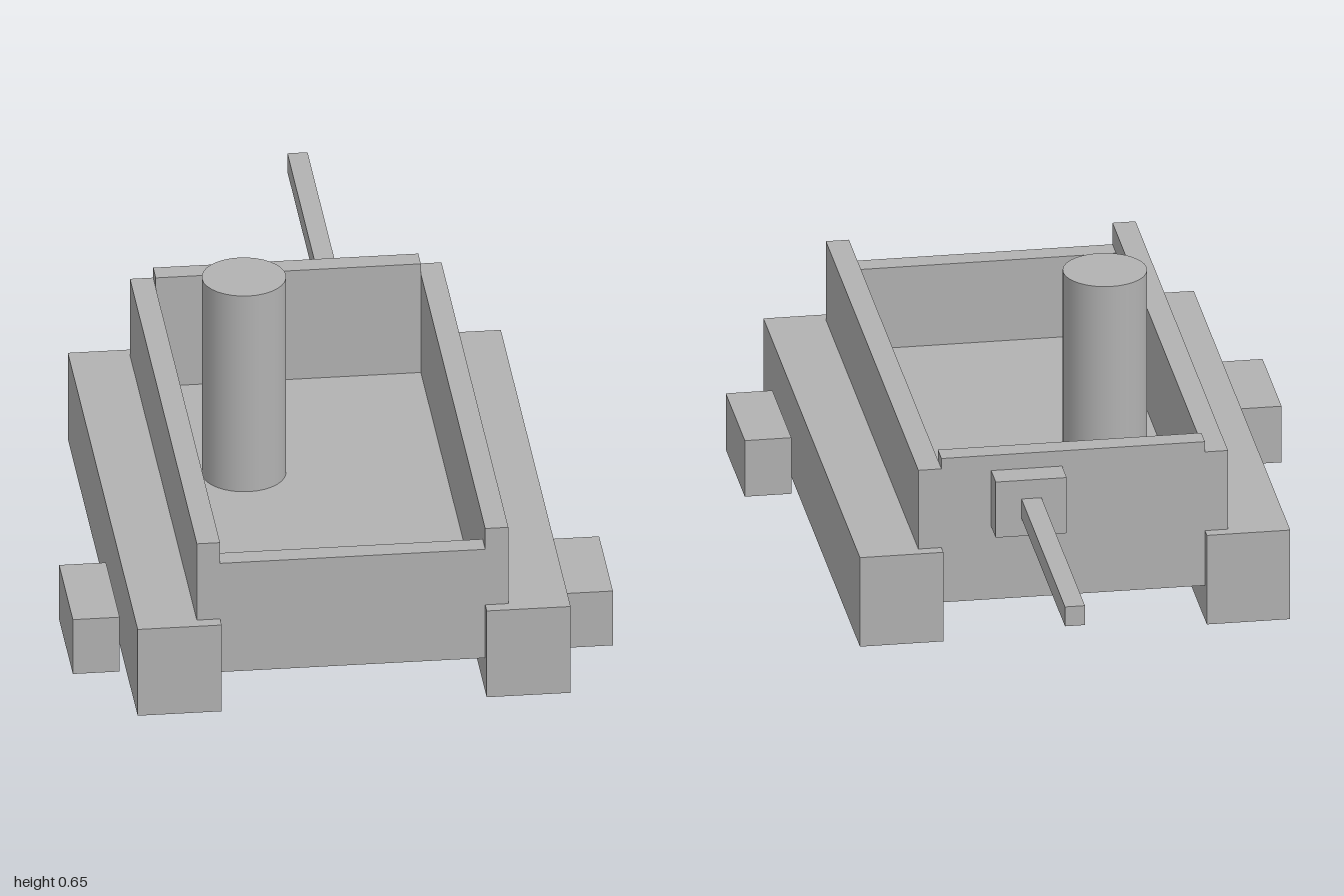
import * as THREE from 'three';

export function createModel() {
  const model = new THREE.Group();
  const grey = new THREE.MeshStandardMaterial({ color: 0xb2b2b2 });
  grey.name = 'plain grey';

  // Box given by its [min, max] extents on each axis
  function box(name, [x0, x1], [y0, y1], [z0, z1]) {
    const mesh = new THREE.Mesh(new THREE.BoxGeometry(x1 - x0, y1 - y0, z1 - z0), grey);
    mesh.position.set((x0 + x1) / 2, (y0 + y1) / 2, (z0 + z1) / 2);
    mesh.name = name;
    model.add(mesh);
  }

  // The same box on both sides
  function pair(name, [x0, x1], y, z) {
    box('left' + name, [x0, x1], y, z);
    box('right' + name, [-x1, -x0], y, z);
  }

  // Open hull: floor between the end walls, side walls resting on the tracks
  box('floor', [-0.297, 0.297], [0.083, 0.16], [-0.275, 0.92]);
  box('frontWall', [-0.297, 0.297], [0.083, 0.355], [0.92, 0.97]);
  box('backWall', [-0.297, 0.297], [0.083, 0.432], [-0.325, -0.275]);
  pair('SideWall', [0.297, 0.349], [0.216, 0.407], [-0.325, 0.97]);

  // Running gear and outer blocks
  pair('Track', [0.297, 0.485], [0, 0.216], [-0.352, 1]);
  pair('OuterBlock', [0.5, 0.605], [0, 0.136], [0.515, 0.782]);

  // Gun on the back wall
  box('gunMount', [0.025, 0.185], [0.26, 0.395], [-0.39, -0.325]);
  box('gunBarrel', [0.082, 0.127], [0.303, 0.35], [-1, -0.39]);

  // Post standing on the floor
  const post = new THREE.Mesh(new THREE.CylinderGeometry(0.094, 0.094, 0.49, 32), grey);
  post.position.set(-0.15, 0.405, 0.162);
  post.name = 'post';
  model.add(post);

  return model;
}
